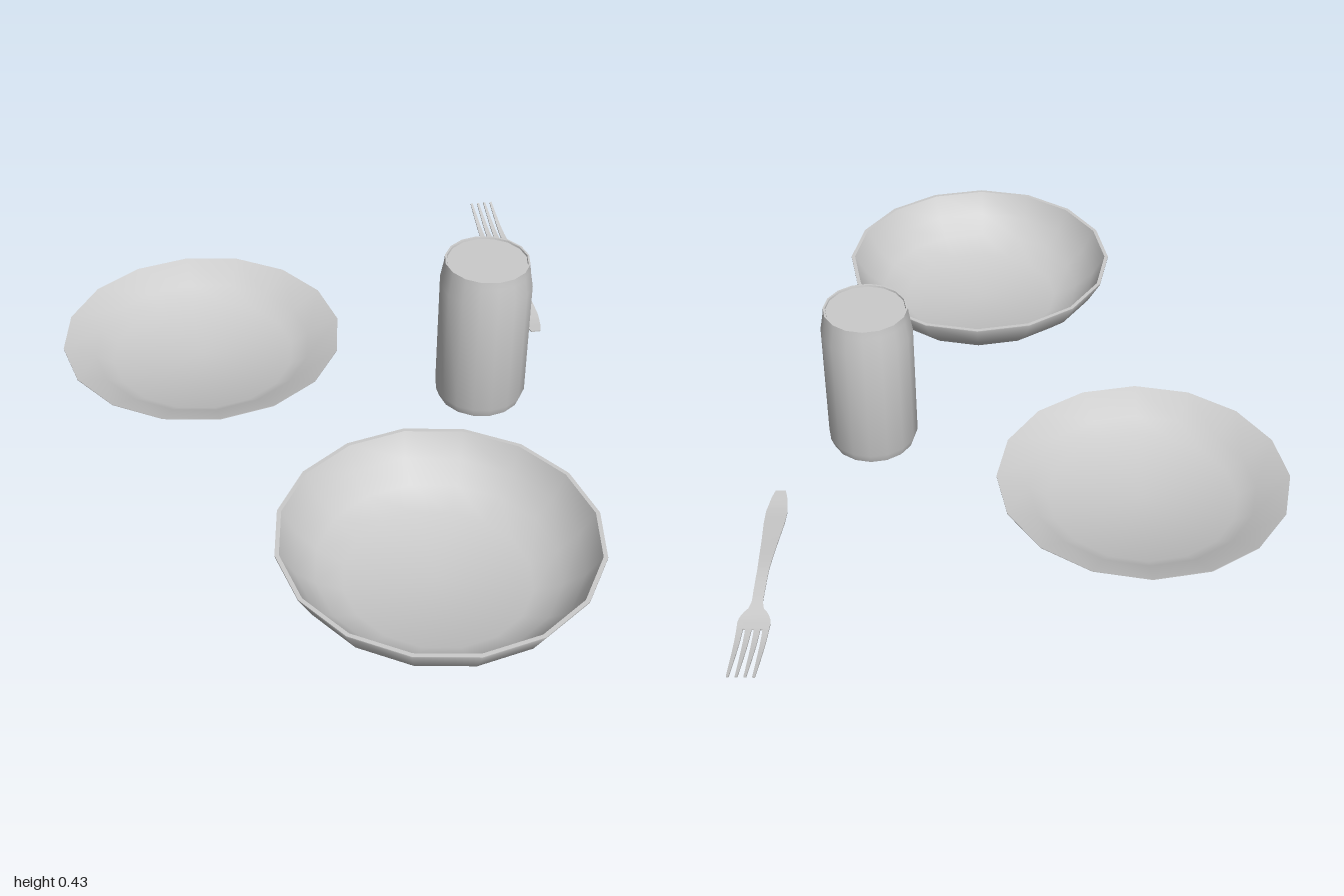
import * as THREE from 'three';
import { toCreasedNormals } from 'three/addons/utils/BufferGeometryUtils.js';

const material = new THREE.MeshStandardMaterial({ color: 0xcccccc });

// Turned part with 16 sides; the profile runs from bottom centre, outside, to top centre
function turned(name, profile, x, z) {
  const points = profile.map(([r, y]) => new THREE.Vector2(r, y));
  const geometry = toCreasedNormals(new THREE.LatheGeometry(points, 16), 0.7);
  const mesh = new THREE.Mesh(geometry, material);
  mesh.name = name;
  mesh.position.set(x, 0, z);
  return mesh;
}

// Linear interpolation through rows of [s, value]
function sample(rows, s) {
  let i = 1;
  while (i < rows.length - 1 && s > rows[i][0]) i++;
  const [a, va] = rows[i - 1], [b, vb] = rows[i];
  return va + (vb - va) * THREE.MathUtils.clamp((s - a) / (b - a), 0, 1);
}

// Side-on wave of the fork: [distance from handle end, height]
const forkWave = new THREE.CatmullRomCurve3(
  [[0, 0.012], [0.06, 0.009], [0.18, 0.017], [0.29, 0.026], [0.38, 0.021],
    [0.46, 0.009], [0.52, 0.009], [0.6, 0.022], [0.648, 0.032]]
    .map(([s, y]) => new THREE.Vector3(s, y, 0)));
const wave = forkWave.getPoints(64).map((p) => [p.x, p.y]);

// Thin bent strip: centre line and half-width vary along the fork
function strip(name, s0, s1, steps, halfWidth, centre) {
  const geometry = new THREE.BoxGeometry(1, 0.004, 1, 1, 1, steps);
  const p = geometry.attributes.position;
  for (let i = 0; i < p.count; i++) {
    const s = s0 + (0.5 - p.getZ(i)) * (s1 - s0);
    const x = sample(centre, s) + p.getX(i) * 2 * sample(halfWidth, s);
    p.setXYZ(i, x, p.getY(i) + sample(wave, s), -s);
  }
  const mesh = new THREE.Mesh(toCreasedNormals(geometry, 0.7), material);
  mesh.name = name;
  return mesh;
}

function createFork() {
  const fork = new THREE.Group();
  fork.name = 'fork';
  // Handle, neck and shoulders
  const outline = [[0, 0.013], [0.025, 0.02], [0.075, 0.027], [0.12, 0.026], [0.2, 0.02],
    [0.3, 0.014], [0.4, 0.013], [0.42, 0.018], [0.435, 0.031], [0.455, 0.039], [0.48, 0.038]];
  fork.add(strip('forkHandle', 0, 0.48, 48, outline, [[0, 0], [1, 0]]));
  // Four tapering tines
  for (let i = 0; i < 4; i++) {
    const k = (i - 1.5) / 1.5;
    fork.add(strip('forkTine', 0.478, 0.648, 8,
      [[0.478, 0.0075], [0.648, 0.003]], [[0.478, k * 0.0305], [0.648, k * 0.0295]]));
  }
  fork.position.set(0.484, 0, -0.383);
  fork.rotation.y = THREE.MathUtils.degToRad(21.2);
  return fork;
}

export function createModel() {
  const group = new THREE.Group();
  group.name = 'tableware';

  // Shallow plate
  group.add(turned('plate', [[0, 0.025], [0.24, 0.025], [0.285, 0.056], [0.367, 0.098],
    [0.367, 0.1], [0.285, 0.064], [0.24, 0.035], [0, 0.033]], -0.38, -0.07));

  // Deep bowl with a thin lip
  group.add(turned('bowl', [[0, 0], [0.225, 0], [0.29, 0.04], [0.34, 0.085], [0.375, 0.147],
    [0.375, 0.15], [0.365, 0.15], [0.332, 0.09], [0.284, 0.048], [0.22, 0.014], [0, 0.012]], 0.365, 0.62));

  // Drink can with a narrowed top and bottom
  group.add(turned('can', [[0, 0.01], [0.108, 0.01], [0.117, 0.035], [0.117, 0.36],
    [0.109, 0.405], [0.107, 0.425], [0.102, 0.425], [0.101, 0.42], [0, 0.42]], 0.365, -0.09));

  group.add(createFork());
  return group;
}
